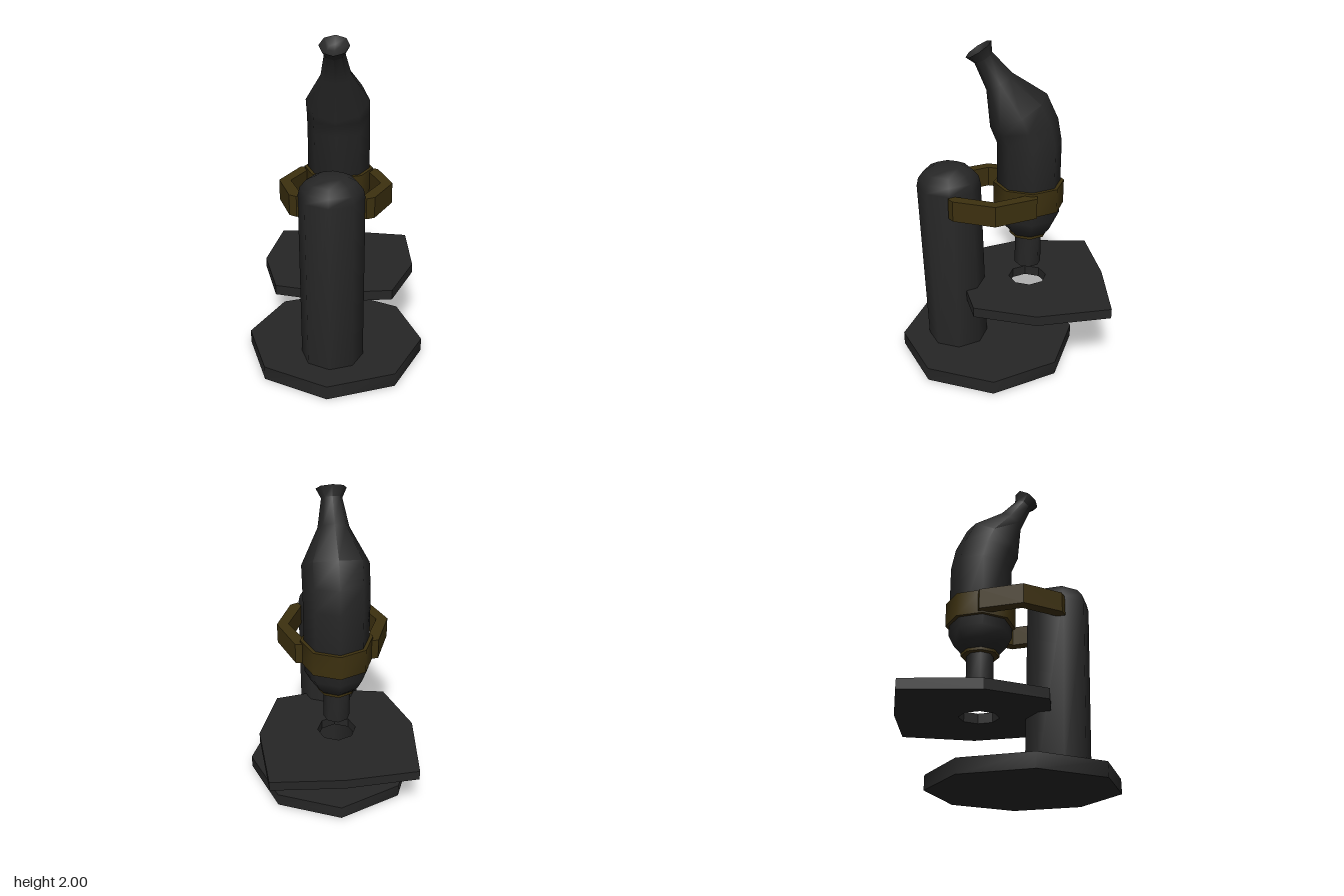
import * as THREE from 'three';
import { toCreasedNormals } from 'three/addons/utils/BufferGeometryUtils.js';

const SIDES = 8;

// Octagonal skin through rings, each [front z, front y, back z, back y, half width]
function loft(rings) {
  const p = [];
  const point = ([zf, yf, zb, yb, w], j) => {
    const a = (j / SIDES) * Math.PI * 2, t = (1 + Math.cos(a)) / 2;
    return [w * Math.sin(a), yb + (yf - yb) * t, zb + (zf - zb) * t];
  };
  for (let i = 0; i < rings.length - 1; i++) {
    const lo = rings[i], hi = rings[i + 1];
    for (let j = 0; j < SIDES; j++) {
      const a = point(lo, j), b = point(lo, j + 1), c = point(hi, j + 1), d = point(hi, j);
      if (lo[4] > 0) p.push(...a, ...b, ...c);
      if (hi[4] > 0) p.push(...a, ...c, ...d);
    }
  }
  const g = new THREE.BufferGeometry();
  g.setAttribute('position', new THREE.Float32BufferAttribute(p, 3));
  return toCreasedNormals(g, 0.9);
}

// Level ring at height y, centred on z, and the point that closes a skin
const level = (y, r, z) => [z + r, y, z - r, y, r];
const prism = (y0, y1, r, z) => loft([level(y0, 0, z), level(y0, r, z), level(y1, r, z), level(y1, 0, z)]);

// Plate from an outline of [x, z] points, between two heights
function plate(outline, y0, y1, hole) {
  const shape = new THREE.Shape(outline.map(([x, z]) => new THREE.Vector2(x, -z)));
  if (hole) shape.holes.push(new THREE.Path(hole.map(([x, z]) => new THREE.Vector2(x, -z))));
  const g = new THREE.ExtrudeGeometry(shape, { depth: y1 - y0, bevelEnabled: false });
  g.rotateX(-Math.PI / 2);
  g.translate(0, y0, 0);
  return g;
}

export function createModel() {
  const black = new THREE.MeshStandardMaterial({ color: 0x262626 });
  black.name = 'black enamel';
  const brass = new THREE.MeshStandardMaterial({ color: 0x3c300f });
  brass.name = 'dark brass';

  const model = new THREE.Group();
  model.name = 'microscope';
  const add = (name, geometry, material) => {
    const mesh = new THREE.Mesh(geometry, material);
    mesh.name = name;
    model.add(mesh);
  };

  // Foot
  add('base', prism(0, 0.085, 0.555, 0.095), black);

  // Leaning pillar with a domed top
  add('column', loft([
    level(0.06, 0, 0.29), level(0.06, 0.19, 0.29),
    level(1.14, 0.193, 0.322), level(1.19, 0.182, 0.322), level(1.235, 0.145, 0.324),
    level(1.265, 0.085, 0.325), level(1.265, 0, 0.325),
  ]), black);

  // Stage with a light opening
  const half = [[0.44, -0.62], [0.485, -0.165], [0.36, 0.2]];
  const outline = [[0, -0.65], ...half, [0, 0.262], ...half.map(([x, z]) => [-x, z]).reverse()];
  const opening = Array.from({ length: SIDES }, (_, i) => {
    const a = (i / SIDES) * Math.PI * 2;
    return [0.12 * Math.sin(a), -0.163 + 0.12 * Math.cos(a)];
  });
  add('stage', plate(outline, 0.425, 0.487, opening), black);

  // Body tube bending forward into a flared, hollow eyepiece
  const tz = -0.163;
  add('bodyTube', loft([
    level(0.82, 0, tz), level(0.82, 0.115, tz), level(0.87, 0.16, tz), level(0.935, 0.193, tz),
    level(1.4, 0.193, tz),
    [0.06, 1.475, -0.33, 1.54, 0.193],
    [0.07, 1.5, -0.26, 1.69, 0.193],
    [0.09, 1.72, -0.06, 1.815, 0.09],
    [0.155, 1.875, 0.055, 1.935, 0.06],
    [0.205, 1.908, 0.06, 2.0, 0.088],
    [0.155, 1.895, 0.072, 1.95, 0.045],
    [0.11, 1.92, 0.11, 1.92, 0],
  ]), black);

  // Objective and its collar
  add('objective', prism(0.595, 0.82, 0.082, tz), black);
  add('objectiveCollar', prism(0.805, 0.83, 0.117, tz), brass);

  // Clamp around the tube, and the two arms joining it to the column
  add('clampRing', prism(1.0, 1.15, 0.215, tz), brass);
  const arm = [[0.17, 0.32], [0.2, 0.33], [0.245, 0.305], [0.34, 0.065], [0.245, -0.185],
    [0.2, -0.19], [0.17, -0.15], [0.195, -0.12], [0.27, 0.065], [0.185, 0.265]];
  add('leftArm', plate(arm, 1.01, 1.135), brass);
  add('rightArm', plate(arm.map(([x, z]) => [-x, z]), 1.01, 1.135), brass);

  return model;
}
